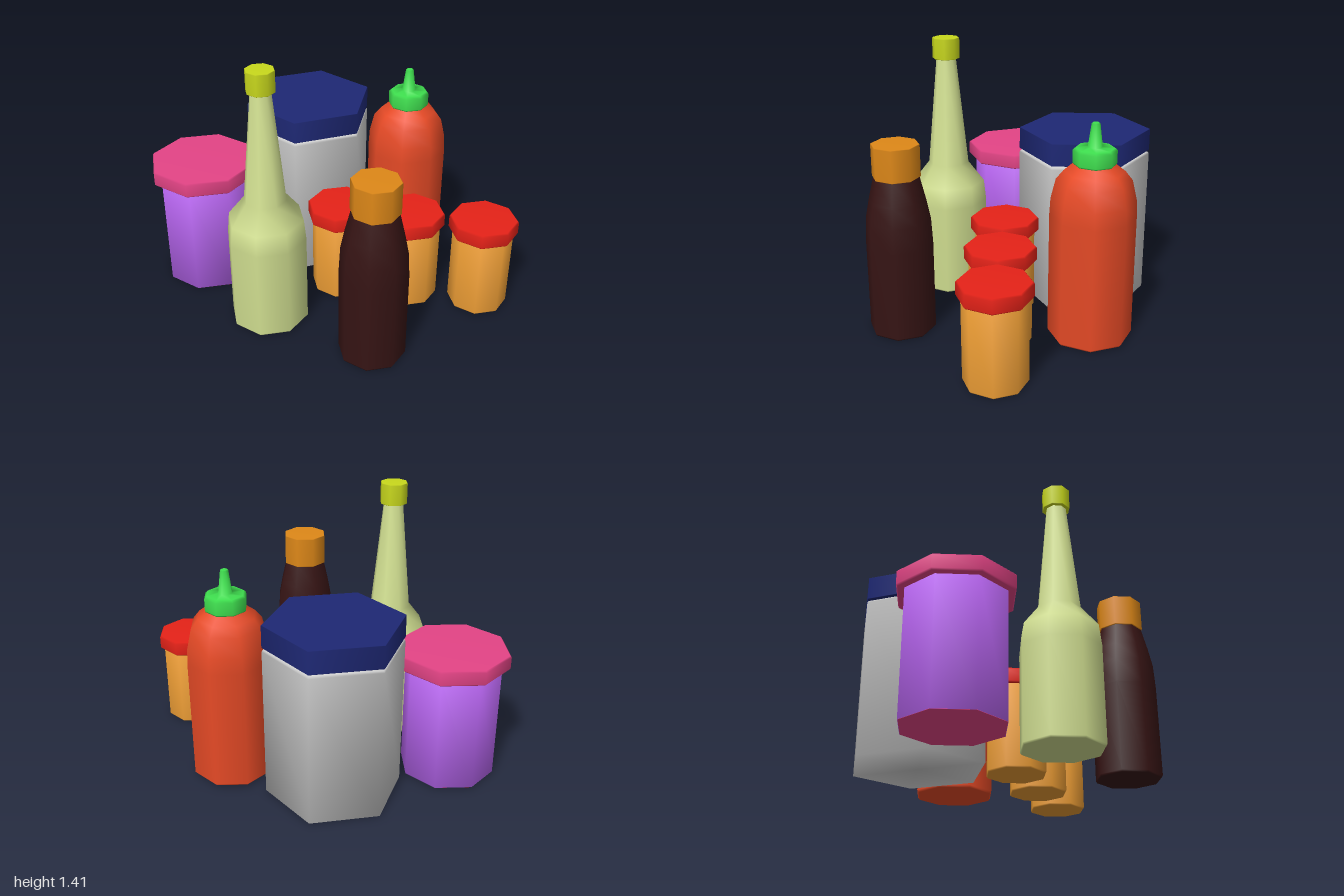
import * as THREE from 'three';

const material = (color) => new THREE.MeshStandardMaterial({ color });

// Closed turned solid; profile is [radius, height] pairs from bottom to top
function turned(name, color, profile, sides = 8) {
  const [first, last] = [profile[0], profile[profile.length - 1]];
  const points = [[0, first[1]], ...profile, [0, last[1]]].map(([r, y]) => new THREE.Vector2(r, y));
  const mesh = new THREE.Mesh(new THREE.LatheGeometry(points, sides), material(color));
  mesh.name = name;
  return mesh;
}

// Lid with slightly eased rims
const lid = (name, color, r, y0, y1, sides = 8, ease = 0.008) =>
  turned(name, color, [[r - ease, y0], [r, y0 + ease], [r, y1 - ease], [r - ease, y1]], sides);

function place(name, x, z, ...parts) {
  const group = new THREE.Group();
  group.name = name;
  group.position.set(x, 0, z);
  group.add(...parts);
  return group;
}

export function createModel() {
  const model = new THREE.Group();
  model.name = 'condimentSet';

  // Large hexagonal canister
  model.add(place('canister', -0.205, -0.38,
    turned('canisterBody', 0xcccccc, [[0.352, 0], [0.352, 0.8], [0.345, 0.81], [0.315, 0.81], [0.315, 0.83]], 6),
    lid('canisterLid', 0x1e2874, 0.352, 0.82, 0.94, 6, 0.002)));

  // Wide jar with a coloured base
  model.add(place('wideJar', -0.71, 0.01,
    turned('wideJarBody', 0xb966f2, [[0.25, 0.002], [0.25, 0.63]]),
    turned('wideJarBase', 0xe44486, [[0.248, 0], [0.248, 0.002]]),
    lid('wideJarLid', 0xe44486, 0.29, 0.62, 0.7)));

  // Three small jars in a row
  [0.06, 0.435, 0.818].forEach((x, i) => model.add(place('smallJar' + (i + 1), x, 0.04,
    turned('smallJarBody', 0xe89a34, [[0.152, 0.004], [0.158, 0.012], [0.158, 0.45]]),
    lid('smallJarLid', 0xe62218, 0.18, 0.443, 0.522))));

  // Tall long-necked bottle
  model.add(place('tallBottle', -0.265, 0.372,
    turned('tallBottleBody', 0xd0de90, [[0.2, 0], [0.207, 0.01], [0.207, 0.5], [0.195, 0.61], [0.11, 0.72], [0.052, 1.31]]),
    lid('tallBottleCap', 0xc8d81c, 0.073, 1.303, 1.415, 8, 0.003)));

  // Dark sauce bottle
  model.add(place('sauceBottle', 0.315, 0.56,
    turned('sauceBottleBody', 0x361414, [[0.166, 0], [0.172, 0.01], [0.172, 0.48], [0.165, 0.61], [0.145, 0.71], [0.116, 0.83], [0.11, 0.84]]),
    lid('sauceBottleCap', 0xde8818, 0.122, 0.832, 1, 8, 0.003)));

  // Squeeze bottle with a nozzle
  model.add(place('squeezeBottle', 0.35, -0.412,
    turned('squeezeBottleBody', 0xe64a26, [[0.205, 0.008], [0.215, 0.02], [0.215, 0.66], [0.21, 0.745], [0.186, 0.845], [0.15, 0.89], [0.105, 0.925], [0.1, 0.94]]),
    turned('squeezeCap', 0x3ede4e, [[0.105, 0.925], [0.108, 0.932], [0.108, 0.995], [0.095, 1.007], [0.036, 1.012], [0.021, 1.128], [0.015, 1.132]])));

  return model;
}
